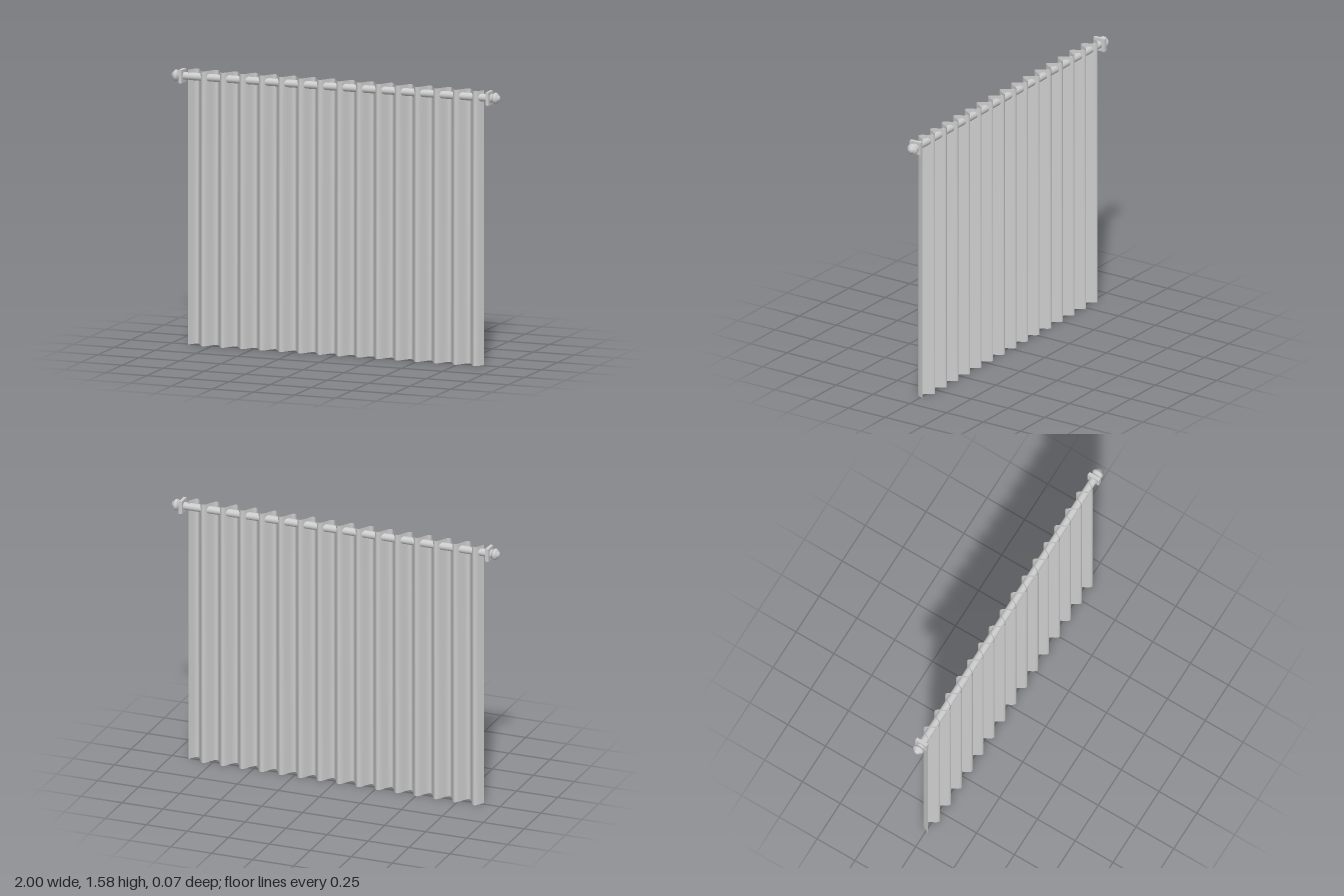
import * as THREE from 'three';

const ROD_Y = 1.54;
const mat = new THREE.MeshStandardMaterial({ color: 0xcccccc });
const clothMat = new THREE.MeshStandardMaterial({ color: 0xcccccc, side: THREE.DoubleSide });

function add(parent, name, geometry, material = mat) {
  const mesh = new THREE.Mesh(geometry, material);
  mesh.name = name;
  parent.add(mesh);
  return mesh;
}

// Pleated cloth: a flat sheet pushed into a sine wave
function curtainGeometry() {
  const width = 1.79, height = 1.58, pitch = 0.1182, depth = 0.036;
  const geo = new THREE.PlaneGeometry(width, height, 300, 1);
  geo.translate(0, height / 2, 0);
  const pos = geo.attributes.position;
  for (let i = 0; i < pos.count; i++) {
    const phase = (2 * Math.PI * (pos.getX(i) + 0.029)) / pitch;
    pos.setZ(i, -depth * Math.cos(phase));
  }
  geo.computeVertexNormals();
  return geo;
}

// Turned finial, profile given as [radius, distance from the rod's middle]
function finialGeometry() {
  const profile = [
    [0.021, 0.94], [0.026, 0.945], [0.026, 0.95], [0.018, 0.954], [0.018, 0.958],
    [0.027, 0.96], [0.032, 0.966], [0.033, 0.972], [0.032, 0.978], [0.026, 0.985],
    [0.02, 0.986], [0.018, 0.992], [0.011, 0.998], [0, 1],
  ].map(([r, d]) => new THREE.Vector2(r, d));
  return new THREE.LatheGeometry(profile, 32).rotateZ(-Math.PI / 2);
}

export function createModel() {
  const model = new THREE.Group();
  model.name = 'curtainOnRod';

  add(model, 'curtain', curtainGeometry(), clothMat);

  // Rod
  const rod = add(model, 'rod', new THREE.CylinderGeometry(0.022, 0.022, 1.9, 32).rotateZ(Math.PI / 2));
  rod.position.y = ROD_Y;

  // Square bracket plate and finial at each end
  for (const [side, angle] of [['left', 0], ['right', Math.PI]]) {
    const end = new THREE.Group();
    end.name = side + 'RodEnd';
    end.position.y = ROD_Y;
    end.rotation.y = angle;
    add(end, 'bracketPlate', new THREE.BoxGeometry(0.02, 0.076, 0.074)).position.x = 0.935;
    add(end, 'finial', finialGeometry());
    model.add(end);
  }
  return model;
}
